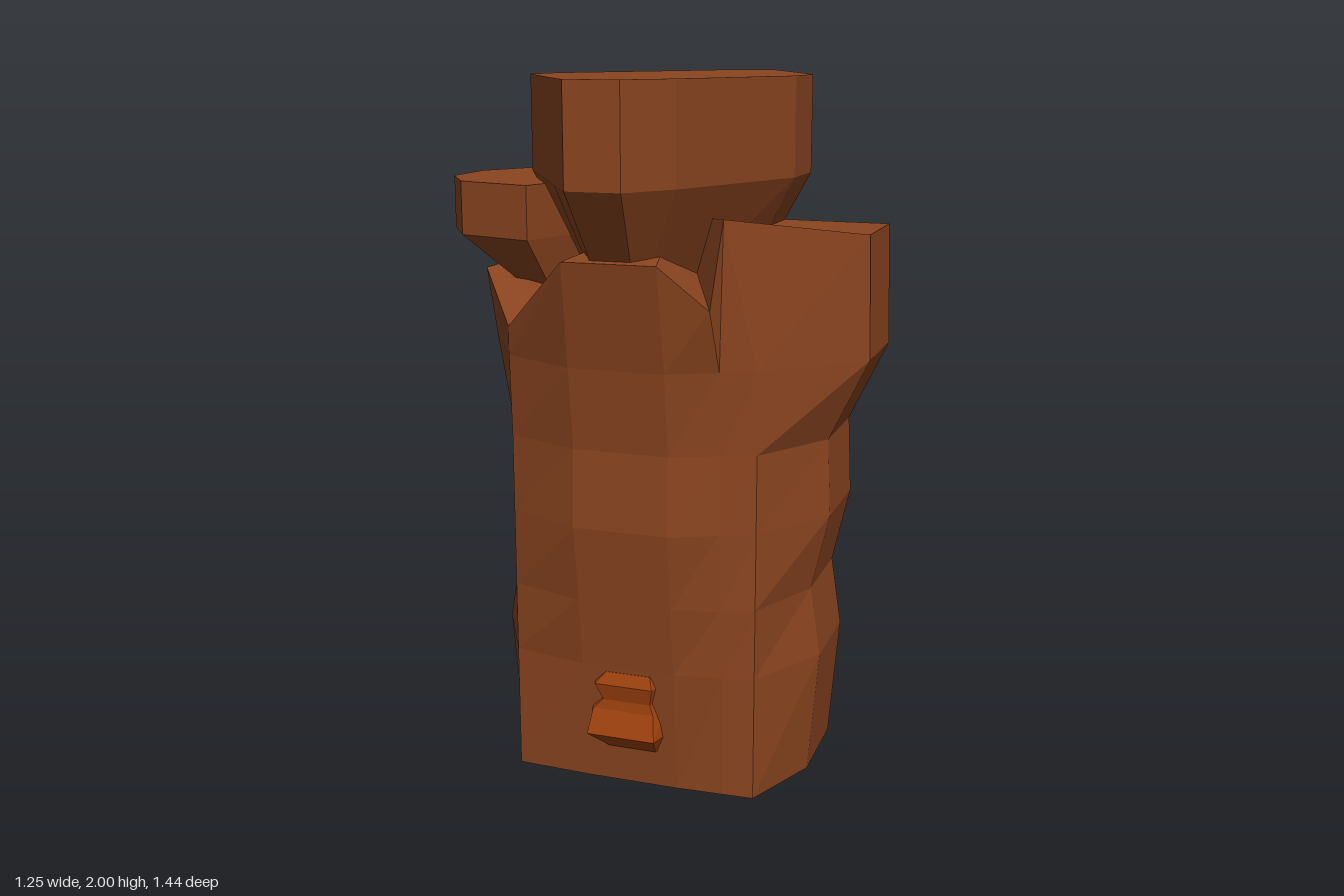
import * as THREE from 'three';

const rockMaterial = new THREE.MeshStandardMaterial({ color: 0x8b4520, flatShading: true });
const knobMaterial = new THREE.MeshStandardMaterial({ color: 0xa0420f, flatShading: true });

// Skins a stack of rings, each listed counter-clockwise from above, and caps both ends.
function loft(name, rings, material, bottomCentre, topCentre) {
  const n = rings[0].length;
  const mean = (ring) => [0, 1, 2].map((k) => ring.reduce((s, p) => s + p[k], 0) / n);
  const pos = [];
  const tri = (a, b, c) => pos.push(...a, ...b, ...c);
  const first = rings[0], last = rings[rings.length - 1];
  const low = bottomCentre || mean(first), high = topCentre || mean(last);
  for (let j = 0; j < n; j++) {
    const k = (j + 1) % n;
    tri(low, first[k], first[j]);
    tri(high, last[j], last[k]);
    for (let i = 0; i < rings.length - 1; i++) {
      const a = rings[i], b = rings[i + 1];
      tri(a[j], a[k], b[k]);
      tri(a[j], b[k], b[j]);
    }
  }
  const geometry = new THREE.BufferGeometry();
  geometry.setAttribute('position', new THREE.Float32BufferAttribute(pos, 3));
  geometry.computeVertexNormals();
  const mesh = new THREE.Mesh(geometry, material);
  mesh.name = name;
  return mesh;
}

// Places a plan outline at height y, scaled about a centre.
const level = (plan, y, sx = 1, sz = sx, cx = 0, cz = 0) =>
  plan.map(([x, z]) => [cx + (x - cx) * sx, y, cz + (z - cz) * sz]);

// Body section: side extents, front corner, front middle, back corner and back middle depths.
const bodyRing = ([y, xl, xr, fc, fm, bc, bm]) => [
  [-0.12, y, fm], [0.15, y, fm], [0.28, y, fm * 0.4 + fc * 0.6], [0.37, y, fc],
  [xr, y, 0.21], [xr, y, -0.06], [0.37, y, bc],
  [0.15, y, bm], [-0.12, y, bm], [-0.34, y, bc],
  [xl, y, -0.06], [xl, y, 0.2], [-0.34, y, fc],
];

function createBody() {
  const sections = [
    [0.02, -0.44, 0.47, 0.44, 0.45, -0.29, -0.29],
    [0.38, -0.47, 0.50, 0.44, 0.485, -0.29, -0.375],
    [0.58, -0.43, 0.47, 0.44, 0.51, -0.29, -0.39],
    [0.80, -0.41, 0.52, 0.44, 0.54, -0.28, -0.435],
    [1.02, -0.45, 0.51, 0.44, 0.53, -0.28, -0.485],
    [1.25, -0.49, 0.62, 0.45, 0.56, -0.33, -0.53],
  ].map(bodyRing);
  // Uneven broken rim
  const rim = [
    [-0.11, 1.54, 0.62], [0.15, 1.54, 0.62], [0.27, 1.42, 0.55], [0.29, 1.65, 0.5],
    [0.61, 1.59, 0.21], [0.61, 1.59, -0.06], [0.37, 1.46, -0.37],
    [0.15, 1.4, -0.45], [-0.12, 1.4, -0.45], [-0.34, 1.42, -0.3],
    [-0.53, 1.45, -0.06], [-0.52, 1.45, 0.2], [-0.34, 1.33, 0.45],
  ];
  // Stepped hollow in the underside
  const plan = sections[0].map(([x, , z]) => [x, z]);
  const hollow = [[0.2, 0.36], [0.04, 0.42], [0.0, 0.46], [0.0, 0.55], [0.05, 0.62], [0.03, 0.8]]
    .map(([y, s]) => level(plan, y, s, s, 0.015, 0.08));
  return loft('rockBody', [...hollow, ...sections, rim], rockMaterial, [0.015, 0.24, 0.08], [0, 1.6, 0]);
}

function createCapstone() {
  const plan = [
    [-0.055, 0.72], [0.095, 0.72], [0.19, 0.58], [0.385, 0.15], [0.385, -0.04], [0.19, -0.5],
    [0.095, -0.72], [-0.055, -0.72], [-0.14, -0.52], [-0.39, -0.04], [-0.39, 0.15], [-0.14, 0.58],
  ];
  return loft('capstone', [
    level(plan, 1.4, 0.55, 0.66, 0, 0.05), level(plan, 1.73), level(plan, 2),
  ], rockMaterial);
}

function createSideLedge() {
  const plan = [
    [-0.53, 0.33], [-0.3, 0.4], [-0.2, 0.1], [-0.24, -0.22],
    [-0.53, -0.18], [-0.63, -0.02], [-0.63, 0.17],
  ];
  return loft('sideLedge', [
    level(plan, 1.4, 0.4, 0.6, -0.27, 0.08), level(plan, 1.56), level(plan, 1.71),
  ], rockMaterial);
}

function createKnob() {
  // Rows: height, left edge, right edge, front depth
  const rows = [
    [0.13, -0.07, 0.11, 0.465], [0.18, -0.12, 0.12, 0.512], [0.25, -0.11, 0.11, 0.487],
    [0.28, -0.08, 0.1, 0.485], [0.33, -0.1, 0.11, 0.498], [0.365, -0.07, 0.1, 0.485],
  ];
  return loft('frontKnob', rows.map(([y, l, r, z]) => [
    [l + 0.02, y, z], [r - 0.02, y, z], [r, y, 0.44], [l, y, 0.44],
  ]), knobMaterial);
}

export function createModel() {
  const group = new THREE.Group();
  group.name = 'rockPillar';
  group.add(createBody(), createCapstone(), createSideLedge(), createKnob());
  return group;
}
